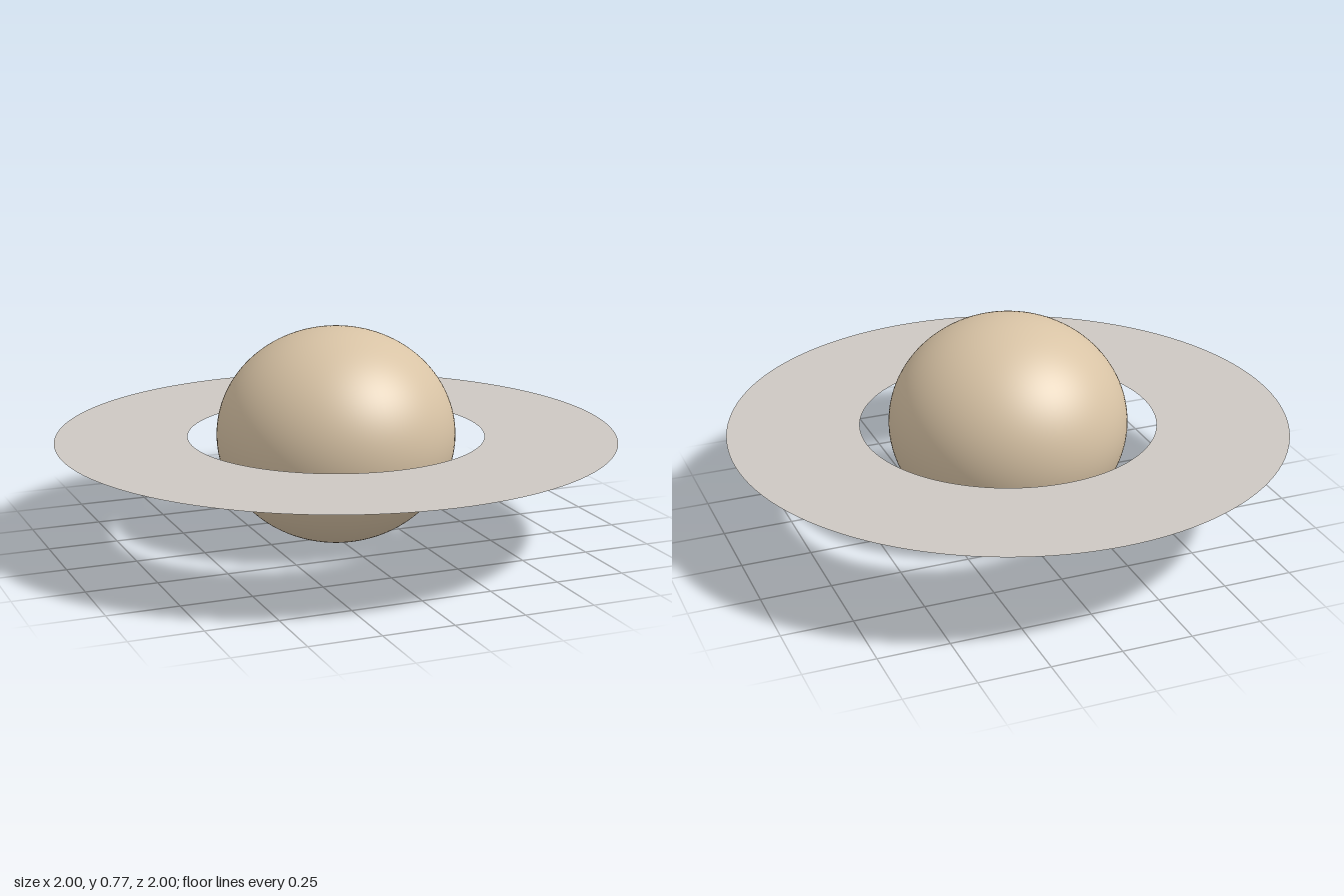
import * as THREE from 'three';

const RADIUS = 0.427;      // equator
const HALF_HEIGHT = 0.386; // flattened poles

export function createModel() {
  const model = new THREE.Group();
  model.name = 'ringedPlanet';

  const sand = new THREE.MeshStandardMaterial({ color: 0xd8c3a5 });
  sand.name = 'sand';
  const paleGrey = new THREE.MeshStandardMaterial({ color: 0xcdc8c2, side: THREE.DoubleSide });
  paleGrey.name = 'paleGrey';

  // Oblate globe, flattened in the geometry so its normals stay correct
  const globeGeometry = new THREE.SphereGeometry(1, 96, 64);
  globeGeometry.scale(RADIUS, HALF_HEIGHT, RADIUS);
  const globe = new THREE.Mesh(globeGeometry, sand);
  globe.name = 'globe';
  globe.position.y = HALF_HEIGHT;

  // Thin flat ring around the equator
  const ringGeometry = new THREE.RingGeometry(0.53, 1, 128, 1);
  ringGeometry.rotateX(-Math.PI / 2);
  const ring = new THREE.Mesh(ringGeometry, paleGrey);
  ring.name = 'ring';
  ring.position.y = HALF_HEIGHT;

  model.add(globe, ring);
  return model;
}
